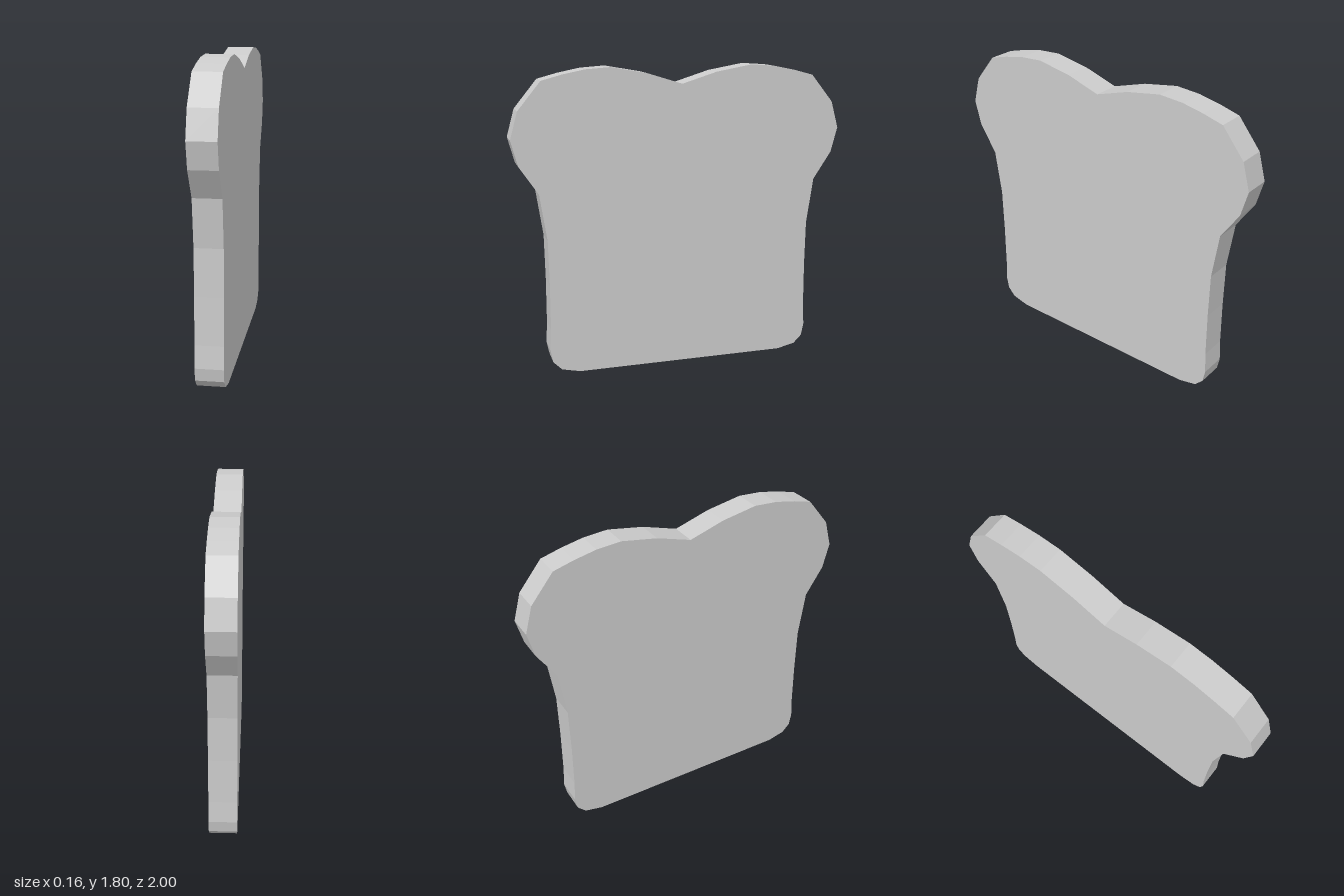
import * as THREE from 'three';

const THICKNESS = 0.16;

// Half outline of the slice as [side, height], from bottom centre up to the top notch
const HALF = [
  [0.64, 0], [0.75, 0.025], [0.8, 0.075], [0.815, 0.15], [0.808, 0.28], [0.806, 0.55],
  [0.81, 0.82], [0.85, 1.095], [0.96, 1.26], [1, 1.41], [0.955, 1.57], [0.82, 1.735],
  [0.7, 1.767], [0.57, 1.793], [0.425, 1.803], [0.21, 1.765],
];

export function createModel() {
  const model = new THREE.Group();
  model.name = 'breadSlice';

  // Mirror the half outline around the notch
  const right = HALF.map(([s, h]) => new THREE.Vector2(s, h));
  const left = HALF.map(([s, h]) => new THREE.Vector2(-s, h)).reverse();
  const outline = new THREE.Shape([...right, new THREE.Vector2(0, 1.7), ...left]);

  // Extrude the slice and turn its broad faces to the sides
  const geometry = new THREE.ExtrudeGeometry(outline, { depth: THICKNESS, bevelEnabled: false });
  geometry.translate(0, 0, -THICKNESS / 2);
  geometry.rotateY(Math.PI / 2);

  const material = new THREE.MeshStandardMaterial({ color: 0xcccccc, flatShading: true });
  const slice = new THREE.Mesh(geometry, material);
  slice.name = 'slice';
  model.add(slice);
  return model;
}
